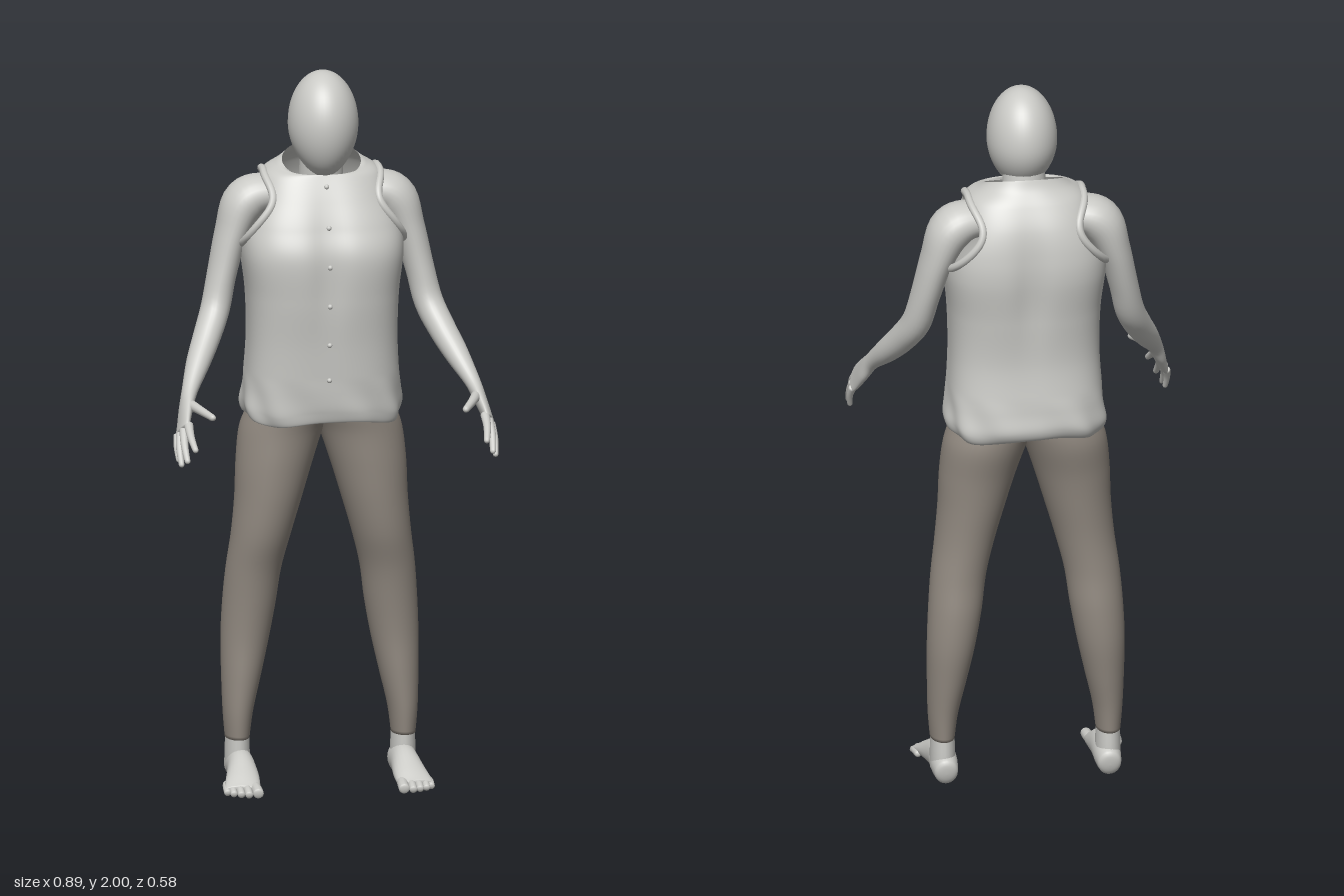
import * as THREE from 'three';

const V = (x, y, z) => new THREE.Vector3(x, y, z);
const mat = (name, color, side = THREE.FrontSide) => {
  const m = new THREE.MeshStandardMaterial({ color, side });
  m.name = name;
  return m;
};

// Smooth interpolation through rows of numbers; t runs from 0 to rows.length - 1
function at(rows, t) {
  const n = rows.length - 1, i = Math.min(Math.max(Math.floor(t), 0), n - 1), f = t - i;
  return rows[i].map((b, c) => {
    const a = rows[Math.max(i - 1, 0)][c], d = rows[i + 1][c], e = rows[Math.min(i + 2, n)][c];
    return b + 0.5 * f * (d - a + f * (2 * a - 5 * b + 4 * d - e + f * (3 * (b - d) + e - a)));
  });
}

// Skin closed rings of points; keep() can leave openings
function loft(rings, capped = true, keep = null) {
  const n = rings[0].length, pts = rings.flat(), idx = [];
  for (let k = 0; k < rings.length - 1; k++) {
    for (let i = 0; i < n; i++) {
      const j = (i + 1) % n, a = k * n + i, b = k * n + j, c = a + n, d = b + n;
      if (keep && !keep(pts[a].clone().add(pts[d]).multiplyScalar(0.5))) continue;
      idx.push(a, b, c, b, d, c);
    }
  }
  if (capped) {
    for (const end of [0, rings.length - 1]) {
      const mid = rings[end].reduce((s, p) => s.add(p), V(0, 0, 0)).divideScalar(n);
      const m = pts.push(mid) - 1;
      for (let i = 0; i < n; i++) {
        const a = end * n + i, b = end * n + (i + 1) % n;
        idx.push(...(end ? [a, b, m] : [b, a, m]));
      }
    }
  }
  const g = new THREE.BufferGeometry().setFromPoints(pts);
  g.setIndex(idx);
  g.computeVertexNormals();
  return g;
}

// Rounded limb through [x, y, z, radius along wide, radius across]
function limb(rows, wide, cap, steps = 24, n = 20) {
  const rings = [], end = rows.length - 1;
  for (let k = 0; k <= steps; k++) {
    const u = 0.5 - 0.5 * Math.cos(Math.PI * k / steps), t = u * end;
    const [x, y, z, a, b] = at(rows, t);
    const p1 = at(rows, Math.min(t + 0.01, end)), p0 = at(rows, Math.max(t - 0.01, 0));
    const T = V(p1[0] - p0[0], p1[1] - p0[1], p1[2] - p0[2]).normalize();
    const w = wide.clone().addScaledVector(T, -wide.dot(T)).normalize();
    const o = T.clone().cross(w);
    const e = Math.min(1, Math.min(u, 1 - u) / cap);
    const r = Math.max(0.04, Math.sqrt(1 - (1 - e) ** 2));
    rings.push(Array.from({ length: n }, (_, i) => {
      const q = i / n * Math.PI * 2;
      return V(x, y, z).addScaledVector(w, a * r * Math.cos(q)).addScaledVector(o, b * r * Math.sin(q));
    }));
  }
  return loft(rings);
}

// Vest sections: y, half width, front z, back z, squareness, backward tilt
const VEST = [
  [1.06, 0.19, 0.02, -0.24, 2.8, 0], [1.03, 0.207, 0.035, -0.265, 2.8, 0],
  [1.06, 0.219, 0.045, -0.285, 2.8, 0], [1.12, 0.213, 0.05, -0.28, 2.8, 0],
  [1.25, 0.205, 0.06, -0.266, 2.8, 0], [1.38, 0.208, 0.075, -0.276, 2.8, 0],
  [1.5, 0.221, 0.08, -0.29, 2.9, 0], [1.58, 0.213, 0.053, -0.286, 2.9, 0],
  [1.65, 0.187, 0.02, -0.27, 2.8, 0], [1.71, 0.162, -0.012, -0.24, 2.6, 0],
  [1.735, 0.125, -0.018, -0.212, 2.2, 0.015], [1.742, 0.108, -0.015, -0.2, 2, 0.035],
];
const vestAt = (y) => {
  let lo = 2, hi = 10;
  for (let i = 0; i < 30; i++) {
    const m = (lo + hi) / 2;
    if (at(VEST, m)[0] < y) lo = m; else hi = m;
  }
  return at(VEST, lo);
};
const HOLE = { z: -0.13, y: 1.615, rz: 0.125, ry: 0.1 };

function vestGeometry() {
  const rings = [], steps = 132, n = 144;
  for (let k = 0; k <= steps; k++) {
    const [y, hx, zf, zb, e, tilt] = at(VEST, k / steps * (VEST.length - 1));
    const hz = (zf - zb) / 2, c = (zf + zb) / 2;
    const fold = Math.max(0, Math.min(1, (1.16 - y) / 0.1));
    const chest = Math.exp(-(((y - 1.48) / 0.16) ** 2));
    rings.push(Array.from({ length: n }, (_, i) => {
      const q = i / n * Math.PI * 2, cs = Math.cos(q), sn = -Math.sin(q);
      const s = 1 + 0.02 * fold * Math.sin(9 * q + 25 * y);
      const x = s * hx * Math.sign(cs) * Math.abs(cs) ** (2 / e);
      let z = s * hz * Math.sign(sn) * Math.abs(sn) ** (2 / e);
      // Shallow groove down the middle of chest and back
      z -= Math.sign(z) * 0.014 * chest * Math.exp(-((x / 0.045) ** 2));
      return V(x, y - tilt * z / hz + 0.007 * fold * Math.sin(4 * q + 1), c + z);
    }));
  }
  return loft(rings, false, (p) =>
    Math.abs(p.x) < 0.07 || ((p.z - HOLE.z) / HOLE.rz) ** 2 + ((p.y - HOLE.y) / HOLE.ry) ** 2 > 1);
}

// Trim that follows the vest surface around an arm opening
function armholeTrim(s) {
  const pts = Array.from({ length: 40 }, (_, i) => {
    const q = i / 40 * Math.PI * 2;
    const z = HOLE.z + HOLE.rz * Math.cos(q), y = HOLE.y + HOLE.ry * Math.sin(q);
    const [, hx, zf, zb, e] = vestAt(y);
    const u = Math.min(0.97, Math.abs((z - (zf + zb) / 2) / ((zf - zb) / 2)));
    return V(s * hx * (1 - u ** e) ** (1 / e), y, z);
  });
  return new THREE.TubeGeometry(new THREE.CatmullRomCurve3(pts, true), 100, 0.011, 10, true);
}

// Trouser sections: y, inner x, outer x, front z, back z
const LEG = [
  [0.125, 0.195, 0.262, -0.076, -0.188], [0.2, 0.185, 0.268, -0.07, -0.195],
  [0.3, 0.162, 0.271, -0.068, -0.21], [0.4, 0.14, 0.272, -0.068, -0.222],
  [0.5, 0.122, 0.268, -0.06, -0.222], [0.6, 0.108, 0.26, -0.046, -0.213],
  [0.7, 0.083, 0.247, -0.022, -0.212], [0.8, 0.054, 0.238, -0.01, -0.22],
  [0.9, 0.024, 0.234, -0.005, -0.232], [0.99, -0.006, 0.224, -0.003, -0.25],
  [1.05, -0.03, 0.203, 0.005, -0.25], [1.1, -0.03, 0.19, 0.005, -0.24],
];
function legGeometry(s) {
  const rings = [];
  for (let k = 0; k <= 60; k++) {
    const [y, xi, xo, zf, zb] = at(LEG, k / 60 * (LEG.length - 1));
    rings.push(Array.from({ length: 36 }, (_, i) => {
      const q = i / 36 * Math.PI * 2;
      return V(s * (xi + xo) / 2 + (xo - xi) / 2 * Math.cos(q), y, (zf + zb) / 2 - (zf - zb) / 2 * Math.sin(q));
    }));
  }
  return loft(rings);
}

const ARM = [
  [0.05, 1.64, -0.14, 0.05, 0.04], [0.14, 1.65, -0.14, 0.066, 0.05], [0.205, 1.625, -0.143, 0.075, 0.06],
  [0.243, 1.54, -0.138, 0.069, 0.046], [0.272, 1.43, -0.122, 0.057, 0.04], [0.293, 1.34, -0.098, 0.047, 0.04],
  [0.322, 1.275, -0.05, 0.042, 0.038], [0.355, 1.215, 0.01, 0.036, 0.033], [0.388, 1.155, 0.08, 0.026, 0.022],
  [0.404, 1.115, 0.12, 0.036, 0.018], [0.418, 1.075, 0.165, 0.042, 0.014], [0.424, 1.06, 0.182, 0.04, 0.012],
];
// Digits: root then tip, radius
const FINGERS = [
  [0.394, 1.125, 0.13, 0.345, 1.113, 0.252, 0.012], [0.408, 1.087, 0.19, 0.4, 1.03, 0.288, 0.0105],
  [0.419, 1.072, 0.182, 0.42, 0.994, 0.268, 0.0105], [0.427, 1.058, 0.17, 0.432, 0.976, 0.234, 0.01],
  [0.432, 1.05, 0.152, 0.434, 0.98, 0.192, 0.009],
];
const FOOT = [
  [0.225, 0.036, -0.2, 0.03, 0.034], [0.225, 0.046, -0.15, 0.037, 0.045], [0.225, 0.05, -0.08, 0.038, 0.047],
  [0.23, 0.035, -0.01, 0.046, 0.031], [0.238, 0.02, 0.04, 0.049, 0.017], [0.24, 0.017, 0.055, 0.047, 0.013],
];
const TOES = [[0.201, 0.095, 0.015], [0.226, 0.094, 0.011], [0.246, 0.086, 0.0105], [0.265, 0.075, 0.01], [0.28, 0.058, 0.01]];

export function createModel() {
  const model = new THREE.Group();
  model.name = 'figure';
  const skin = mat('pale skin', 0xcacac6);
  const cloth = mat('pale cloth', 0xcacac6, THREE.DoubleSide);
  const trousers = mat('grey brown trousers', 0x918980);
  const add = (name, geometry, material) => {
    const m = new THREE.Mesh(geometry, material);
    m.name = name;
    model.add(m);
    return m;
  };

  // Egg-shaped head, narrower and pushed forward at the chin
  const head = new THREE.SphereGeometry(1, 48, 32), p = head.attributes.position;
  for (let i = 0; i < p.count; i++) {
    const y = p.getY(i), low = y < 0 ? y * y : 0;
    p.setXYZ(i, p.getX(i) * 0.096 * (1 - 0.15 * low), 1.855 + y * 0.145, -0.074 + p.getZ(i) * 0.121 * (1 - 0.1 * low) + 0.02 * low);
  }
  head.computeVertexNormals();
  add('head', head, skin);
  add('neck', limb([[0, 1.58, -0.13, 0.075, 0.07], [0, 1.68, -0.12, 0.062, 0.06], [0, 1.82, -0.1, 0.058, 0.058]], V(1, 0, 0), 0.05), skin);

  add('vest', vestGeometry(), cloth);
  for (const y of [1.69, 1.585, 1.48, 1.37, 1.26, 1.16]) {
    const chest = Math.exp(-(((y - 1.48) / 0.16) ** 2));
    add('button', new THREE.SphereGeometry(0.007, 12, 8), cloth).position.set(0, y, vestAt(y)[2] - 0.014 * chest);
  }

  for (const s of [1, -1]) {
    const side = s > 0 ? 'left' : 'right';
    const flip = (rows) => rows.map(([x, ...rest]) => [s * x, ...rest]);
    add(side + 'ArmholeTrim', armholeTrim(s), cloth);
    add(side + 'Arm', limb(flip(ARM), V(0, 0, 1), 0.03, 72, 28), skin);
    for (const [x0, y0, z0, x1, y1, z1, r] of FINGERS) {
      const rows = [[x0, y0, z0, r * 1.25, r * 1.25], [(x0 + x1) / 2 + 0.004, (y0 + y1) / 2 + 0.003, (z0 + z1) / 2, r, r], [x1, y1, z1, r * 0.75, r * 0.75]];
      add(side + 'Finger', limb(flip(rows), V(1, 0, 0), 0.1, 16, 12), skin);
    }
    add(side + 'TrouserLeg', legGeometry(s), trousers);
    add(side + 'Ankle', limb(flip([[0.228, 0.03, -0.135, 0.034, 0.055], [0.228, 0.09, -0.134, 0.034, 0.054], [0.228, 0.17, -0.132, 0.031, 0.05]]), V(1, 0, 0), 0.05), skin);
    add(side + 'Foot', limb(flip(FOOT), V(1, 0, 0), 0.07, 32, 24), skin);
    for (const [x, z, r] of TOES) {
      const rows = [[x * 0.9 + 0.023, 0.022, z - 0.07, r, r], [x, 0.019, z - 0.03, r, r], [x, r, z, r, r * 0.95]];
      add(side + 'Toe', limb(flip(rows), V(1, 0, 0), 0.13, 16, 12), skin);
    }
  }
  return model;
}
